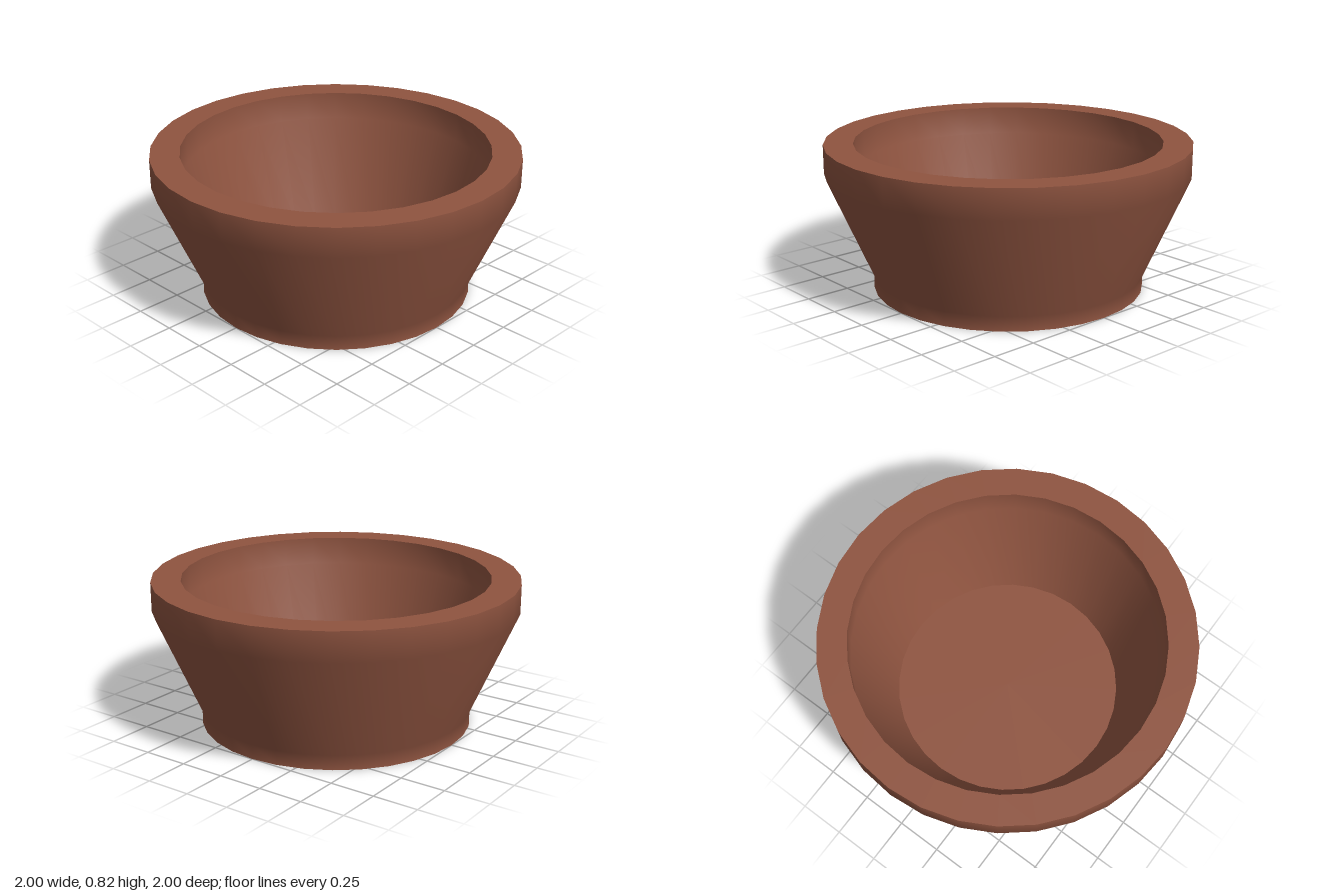
import * as THREE from 'three';

const SIDES = 32;

export function createModel() {
  const bowl = new THREE.Group();
  bowl.name = 'bowl';
  const clay = new THREE.MeshStandardMaterial({ color: 0x8f5440 });

  // Each band is smooth in itself; the seams between bands stay sharp.
  // Profiles are [radius, height], followed from the base centre, over the rim, to the floor centre.
  const band = (name, profile) => {
    const points = profile.map(([r, y]) => new THREE.Vector2(r, y));
    const mesh = new THREE.Mesh(new THREE.LatheGeometry(points, SIDES), clay);
    mesh.name = name;
    bowl.add(mesh);
  };

  band('base', [[0, 0], [0.75, 0]]);
  // Short upright foot, flared side, upright lip
  band('outerWall', [[0.75, 0], [0.75, 0.08], [1, 0.66], [1, 0.82]]);
  band('rim', [[1, 0.82], [0.84, 0.82]]);
  band('innerWall', [[0.84, 0.82], [0.84, 0.66], [0.63, 0.08]]);
  band('floor', [[0.63, 0.08], [0, 0.08]]);

  return bowl;
}
